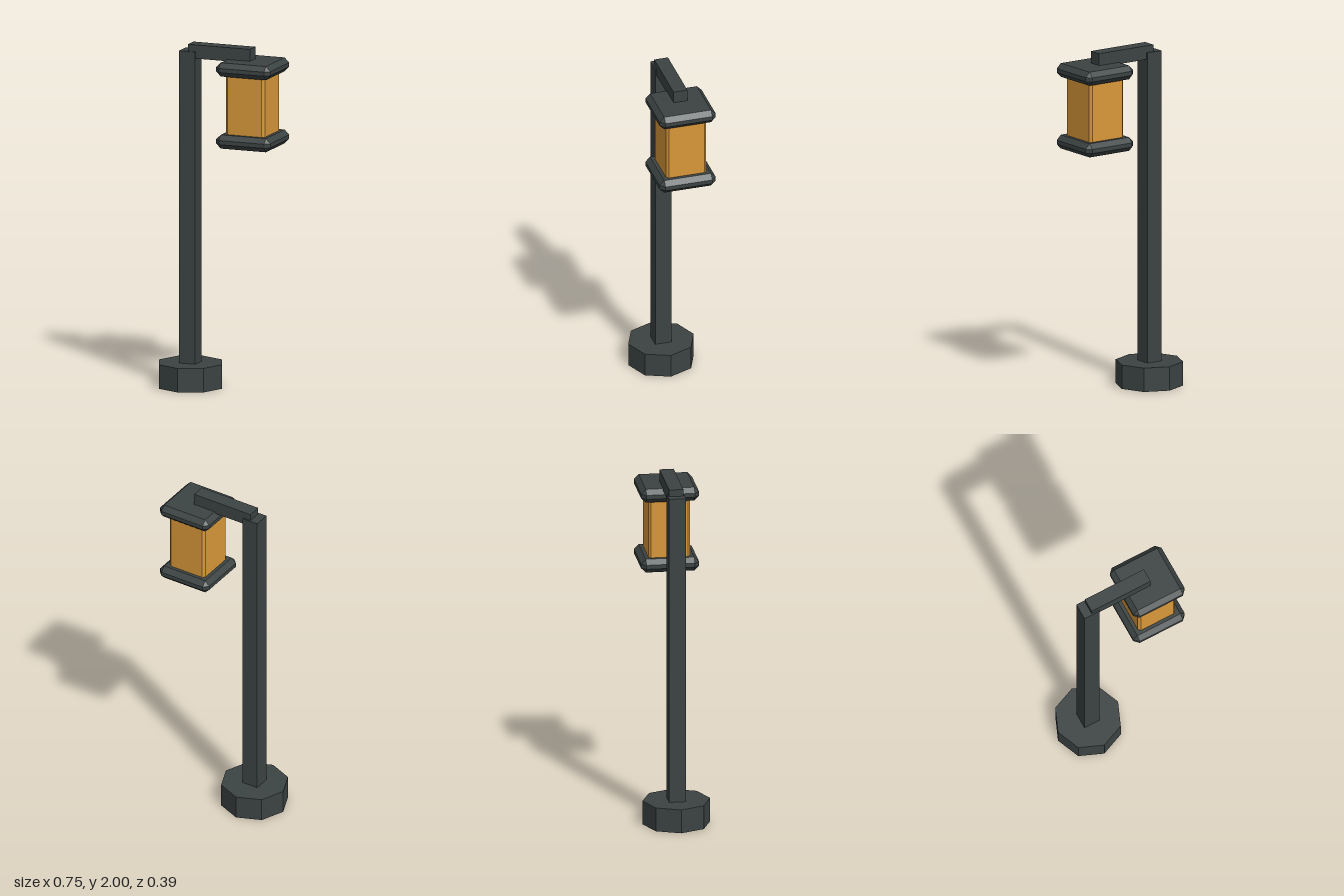
import * as THREE from 'three';
import { ConvexGeometry } from 'three/addons/geometries/ConvexGeometry.js';

const iron = new THREE.MeshStandardMaterial({ color: 0x3c4343, flatShading: true });
const amber = new THREE.MeshStandardMaterial({ color: 0xd9983a, flatShading: true });

// Box with every edge cut at 45 degrees: three shrunken face rectangles per corner
function chamferedBox(w, h, d, b) {
  const [x, y, z] = [w / 2, h / 2, d / 2];
  const points = [];
  for (const sx of [-1, 1]) for (const sy of [-1, 1]) for (const sz of [-1, 1]) {
    points.push(
      new THREE.Vector3(sx * x, sy * (y - b), sz * (z - b)),
      new THREE.Vector3(sx * (x - b), sy * y, sz * (z - b)),
      new THREE.Vector3(sx * (x - b), sy * (y - b), sz * z)
    );
  }
  return new ConvexGeometry(points);
}

export function createModel() {
  const lamp = new THREE.Group();
  lamp.name = 'lampPost';

  const add = (name, geometry, material, x, y) => {
    const mesh = new THREE.Mesh(geometry, material);
    mesh.name = name;
    mesh.position.set(x, y, 0);
    lamp.add(mesh);
  };

  const postX = -0.18, lanternX = 0.205;

  // Octagonal foot, square post and overhanging arm
  add('base', new THREE.CylinderGeometry(0.195, 0.195, 0.14, 8), iron, postX, 0.07);
  add('post', new THREE.BoxGeometry(0.098, 1.89, 0.098), iron, postX, 1.015);
  add('arm', new THREE.BoxGeometry(0.383, 0.08, 0.082), iron, 0.013, 1.96);

  // Lantern: amber glass held between two chamfered plates
  const plate = chamferedBox(0.335, 0.08, 0.335, 0.028);
  add('lanternTop', plate, iron, lanternX, 1.89);
  add('lanternBottom', plate, iron, lanternX, 1.47);
  add('lanternGlass', chamferedBox(0.24, 0.4, 0.24, 0.014), amber, lanternX, 1.68);

  return lamp;
}
